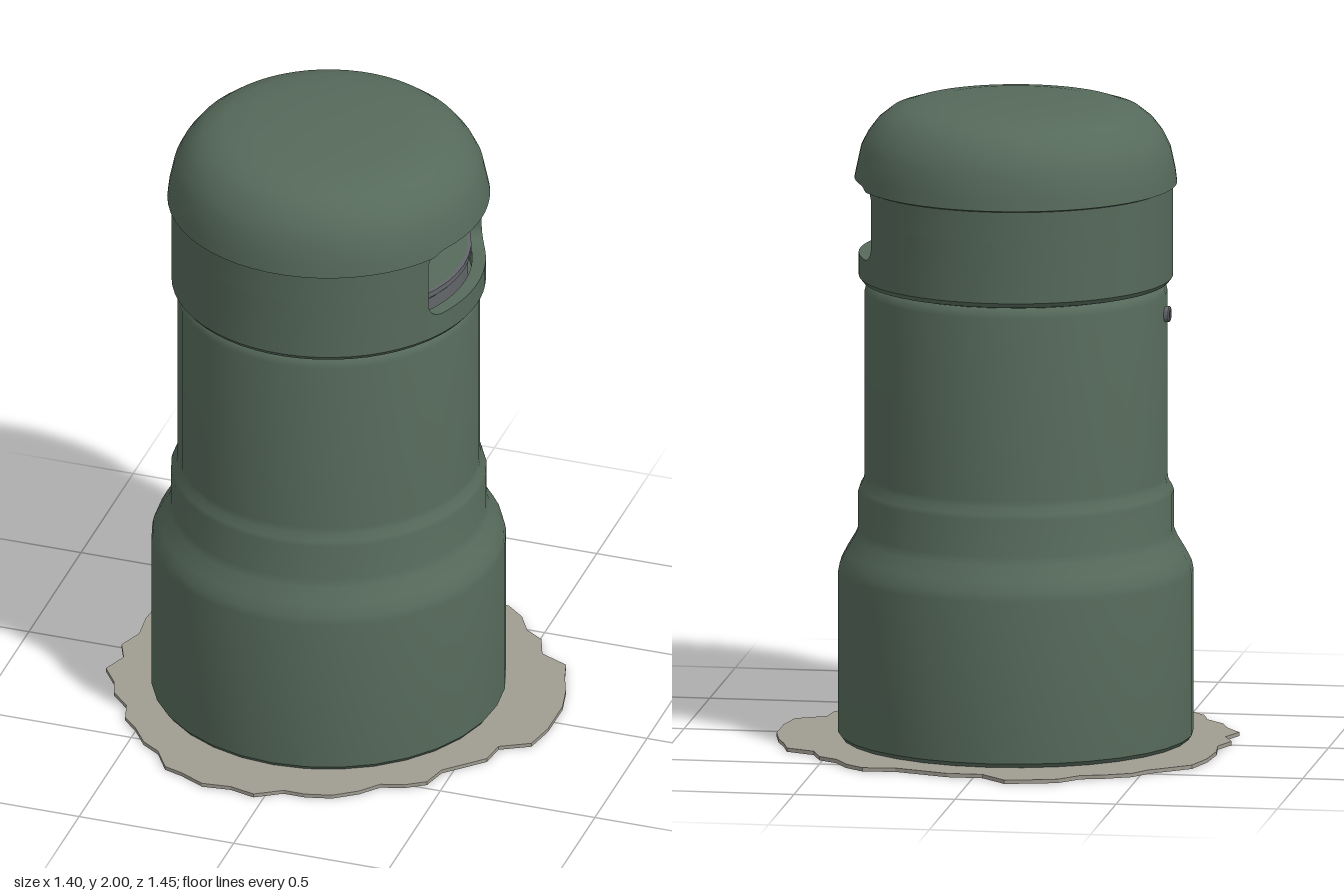
import * as THREE from 'three';
import { toCreasedNormals } from 'three/addons/utils/BufferGeometryUtils.js';

const green = new THREE.MeshStandardMaterial({ color: 0x566a5b });
const stone = new THREE.MeshStandardMaterial({ color: 0xa09d92 });
const grey = new THREE.MeshStandardMaterial({ color: 0x63666a });

const AXIS_X = -0.03; // the post stands slightly off the slab's centre
const SLOT = { low: 1.52, high: 1.755, half: 0.255, corner: 0.05, mid: 1.64 };
const WALL = 0.482, INNER = 0.44;

function add(parent, name, geometry, material) {
  const mesh = new THREE.Mesh(geometry, material);
  mesh.name = name;
  parent.add(mesh);
  return mesh;
}

function lathe(points, segments) {
  const profile = points.map(([r, y]) => new THREE.Vector2(r, y));
  return toCreasedNormals(new THREE.LatheGeometry(profile, segments), 0.6);
}

// Columns around the head: each has an angle and the slot's lower and upper edge there
function headColumns() {
  const end = Math.asin(SLOT.half / WALL);
  const columns = [];
  const closed = (angle) => columns.push({ angle, low: SLOT.mid, high: SLOT.mid });
  closed(-end);
  for (let k = -12; k <= 12; k++) {
    const angle = end * Math.sin((Math.PI / 2) * k / 12);
    const t = Math.max(0, Math.abs(WALL * Math.sin(angle)) - SLOT.half + SLOT.corner);
    const inset = SLOT.corner - Math.sqrt(Math.max(0, SLOT.corner ** 2 - t * t));
    columns.push({ angle, low: SLOT.low + inset, high: SLOT.high - inset });
  }
  const steps = 48;
  for (let k = 0; k <= steps; k++) closed(end + (2 * Math.PI - 2 * end) * k / steps);
  return columns;
}

// Skin a surface through one cross-section per column
function sweep(columns, section) {
  const positions = [], index = [];
  const n = section(columns[0]).length;
  columns.forEach((column, i) => {
    for (const [r, y] of section(column)) {
      positions.push(r * Math.cos(column.angle), y, r * Math.sin(column.angle));
    }
    if (i === columns.length - 1) return;
    for (let j = 0; j < n - 1; j++) {
      const a = i * n + j, d = a + n;
      index.push(a, a + 1, d, a + 1, d + 1, d);
    }
  });
  const geometry = new THREE.BufferGeometry();
  geometry.setAttribute('position', new THREE.Float32BufferAttribute(positions, 3));
  geometry.setIndex(index);
  return toCreasedNormals(geometry, 0.6);
}

// Ragged thin slab, outline in hundredths (x, z)
function slabGeometry() {
  const outline = [
    -11, -73, -3, -65, 8, -65, 25, -59, 35, -60, 41, -55, 45, -48, 51, -44, 54, -36, 63, -32,
    65, -25, 68, -17, 70, -8, 70, 6, 68, 16, 59, 21, 58, 29, 47, 40, 45, 48, 39, 52,
    32, 54, 27, 60, 20, 65, 12, 67, 5, 67, -3, 72, -11, 70, -20, 71, -28, 67, -34, 65,
    -39, 57, -45, 53, -50, 46, -55, 41, -57, 34, -63, 28, -65, 22, -70, 15, -67, 7, -70, 0,
    -67, -8, -68, -17, -67, -29, -64, -40, -52, -50, -48, -56, -40, -60, -33, -62, -27, -69, -20, -71,
  ];
  const points = [];
  for (let i = 0; i < outline.length; i += 2) {
    points.push(new THREE.Vector2(outline[i] / 100, -outline[i + 1] / 100));
  }
  const geometry = new THREE.ExtrudeGeometry(new THREE.Shape(points), { depth: 0.012, bevelEnabled: false });
  return geometry.rotateX(-Math.PI / 2);
}

export function createModel() {
  const model = new THREE.Group();
  model.name = 'bollardLight';
  add(model, 'groundSlab', slabGeometry(), stone);

  const post = new THREE.Group();
  post.name = 'post';
  post.position.x = AXIS_X;
  model.add(post);

  // Stepped base sleeve and shaft
  add(post, 'body', lathe([
    [0, 0.012], [0.535, 0.012], [0.545, 0.025], [0.545, 0.53], [0.54, 0.555], [0.522, 0.59],
    [0.495, 0.635], [0.485, 0.66], [0.485, 0.775], [0.48, 0.79], [0.468, 0.81], [0.465, 0.83],
    [0.465, 1.4], [0.46, 1.42], [0.45, 1.43], [0.45, 1.46], [0, 1.46],
  ], 32), green);

  // Head band below the seam, open at the slot
  const columns = headColumns();
  add(post, 'headBand', sweep(columns, ({ low }) => [
    [INNER, 1.435], [0.47, 1.435], [WALL, 1.45], [WALL, low], [INNER, low], [INNER, 1.435],
  ]), green);

  // Upper head with ceiling, overhanging rim and domed cap
  add(post, 'domedCap', sweep(columns, ({ high }) => [
    [0, 1.79], [INNER, 1.79], [INNER, high], [WALL, high],
    [WALL, Math.max(1.735, high)], [0.495, Math.max(1.74, high)],
    [0.49, 1.78], [0.475, 1.85], [0.455, 1.89], [0.425, 1.93], [0.385, 1.962],
    [0.33, 1.98], [0.25, 1.991], [0.12, 1.998], [0, 2],
  ]), green);

  // Lamp tray seen through the slot
  add(post, 'lampTray', lathe([
    [0.428, 1.46], [0.428, 1.55], [0.438, 1.56], [0.438, 1.578], [0.425, 1.578],
  ], 48), grey);
  const floor = new THREE.CircleGeometry(0.43, 48).rotateX(-Math.PI / 2);
  add(post, 'trayFloor', floor, green).position.y = 1.577;

  // Small socket screw on the side opposite the slot
  const screw = add(post, 'screw', lathe([
    [0, -0.01], [0.025, -0.01], [0.025, 0.014], [0.021, 0.018], [0.012, 0.018], [0.012, 0.004], [0, 0.004],
  ], 16), grey);
  screw.rotation.z = Math.PI / 2;
  screw.position.set(-0.462, 1.34, 0);

  return model;
}
